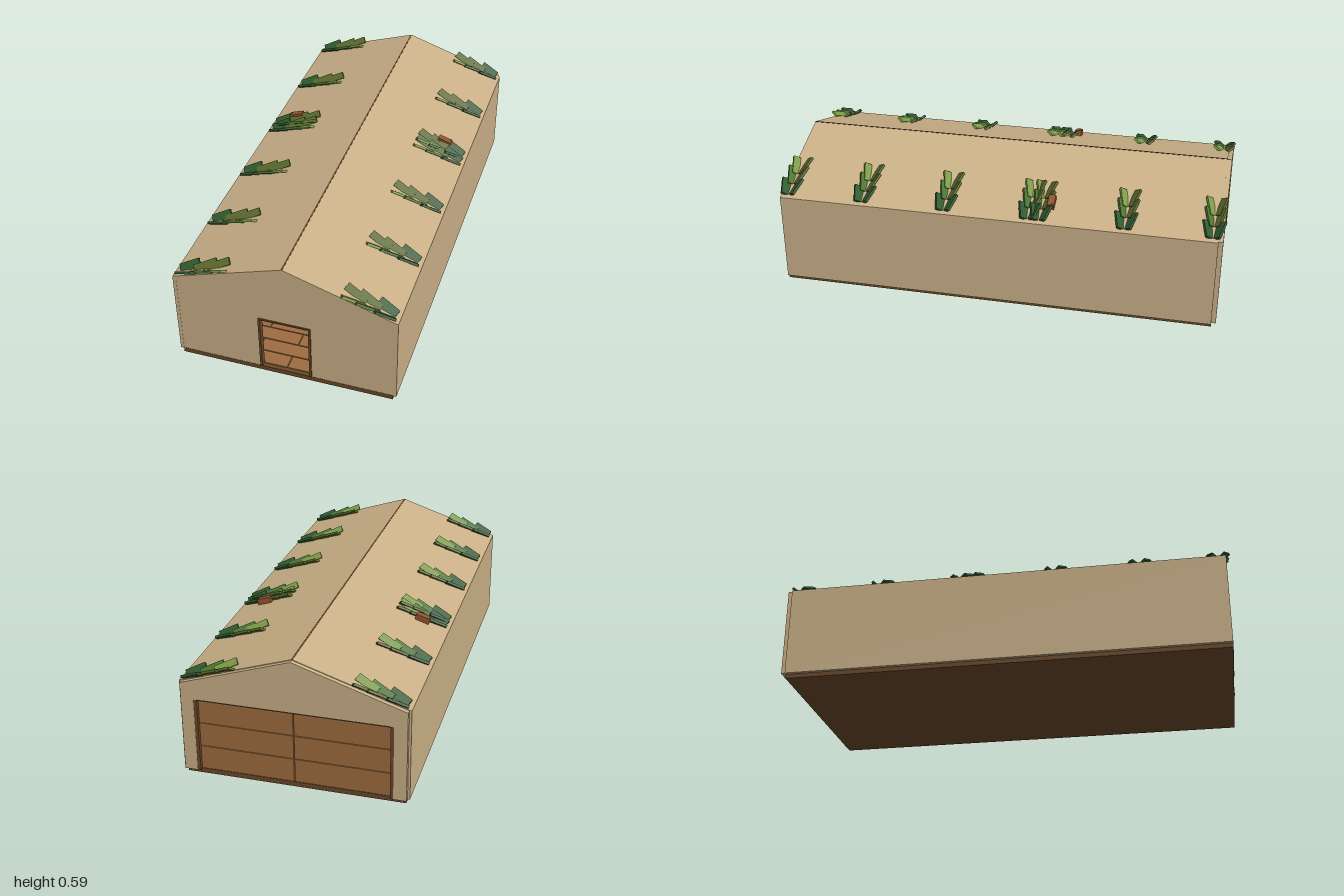
import * as THREE from 'three';

const mat = (name, color) => {
  const m = new THREE.MeshStandardMaterial({ color });
  m.name = name;
  return m;
};

export function createModel() {
  const root = new THREE.Group();
  root.name = 'storageHall';
  const tan = mat('sandWall', 0xcbb188);
  const dark = mat('darkTimber', 0x684829);
  const wood = mat('plankWood', 0x9f6d40);
  const rust = mat('rustBark', 0x94552e);
  const deepGreen = mat('deepGreen', 0x2f5a2e);
  const midGreen = mat('leafGreen', 0x4a7533);
  const limeGreen = mat('limeGreen', 0x7c9c48);
  const olive = mat('oliveGreen', 0x5a6a2c);

  const add = (name, geo, m, x = 0, y = 0, z = 0, parent = root) => {
    const mesh = new THREE.Mesh(geo, m);
    mesh.name = name;
    mesh.position.set(x, y, z);
    parent.add(mesh);
    return mesh;
  };
  const box = (name, m, w, h, d, x, y, z, parent) =>
    add(name, new THREE.BoxGeometry(w, h, d), m, x, y, z, parent);
  const extrude = (name, pts, depth, m, z) =>
    add(name, new THREE.ExtrudeGeometry(new THREE.Shape(pts.map(p => new THREE.Vector2(...p))),
      { depth, bevelEnabled: false }), m, 0, 0, z);

  // Foundation
  box('foundation', dark, 0.94, 0.022, 1.945, 0, 0.011, 0.0025);

  // Plank floor, staggered boards with dark gaps between them
  const floor = new THREE.Group();
  floor.name = 'plankFloor';
  root.add(floor);
  for (let r = 0; r < 27; r++) {
    const cuts = r % 2 ? [-0.465, -0.155, 0.155, 0.465] : [-0.465, -0.31, 0, 0.31, 0.465];
    for (let i = 0; i < cuts.length - 1; i++) {
      box('floorBoard', wood, cuts[i + 1] - cuts[i] - 0.006, 0.004, 0.063,
        (cuts[i] + cuts[i + 1]) / 2, 0.024, 0.925 - r * 0.07, floor);
    }
  }

  // Side walls
  for (const s of [-1, 1]) box('sideWall', tan, 0.015, 0.405, 1.945, s * 0.4775, 0.2225, 0.0025);

  // Roof shell and ridge seam
  extrude('roof', [[-0.485, 0.41], [0, 0.567], [0.485, 0.41], [0.485, 0.428], [0, 0.587], [-0.485, 0.428]],
    1.945, tan, -0.97);
  box('ridgeSeam', dark, 0.006, 0.003, 1.945, 0, 0.5858, 0.0025);

  // Gable walls, each with a doorway cut up from the floor
  const gable = (name, w, apex, eave, doorW, doorH, depth, z) =>
    extrude(name, [[-w, 0.022], [-doorW, 0.022], [-doorW, doorH], [doorW, doorH], [doorW, 0.022],
      [w, 0.022], [w, eave], [0, apex], [-w, eave]], depth, tan, z);
  gable('frontGable', 0.47, 0.58, 0.424, 0.105, 0.29, 0.015, 0.959);
  gable('backGable', 0.475, 0.584, 0.428, 0.42, 0.357, 0.02, -0.99);

  // Front door frame
  for (const s of [-1, 1]) box('frontJamb', dark, 0.01, 0.275, 0.026, s * 0.11, 0.1595, 0.966);
  box('frontLintel', dark, 0.23, 0.007, 0.026, 0, 0.2935, 0.966);

  // Back double door: two leaves of three boards, with open seams
  for (const s of [-1, 1]) {
    for (let i = 0; i < 3; i++) {
      box('backDoorBoard', wood, 0.404, 0.106, 0.012, s * 0.204, 0.078 + i * 0.109, -0.966);
    }
    box('backJamb', dark, 0.014, 0.335, 0.03, s * 0.413, 0.1895, -0.974);
    box('doorBatten', dark, 0.008, 0.25, 0.008, s * 0.018, 0.15, -0.956);
  }
  box('backLintel', dark, 0.84, 0.008, 0.02, 0, 0.353, -0.972);
  box('doorBar', tan, 0.8, 0.015, 0.012, 0, 0.2825, -0.954);

  // Padlock on a plate, on the inside of the back door
  box('lockPlate', dark, 0.09, 0.115, 0.008, 0, 0.1925, -0.948);
  box('lockBody', wood, 0.036, 0.04, 0.012, 0, 0.18, -0.94);
  box('lockKeyhole', dark, 0.006, 0.018, 0.004, 0, 0.18, -0.933);
  box('shackleTop', tan, 0.036, 0.006, 0.008, 0, 0.219, -0.941);
  for (const s of [-1, 1]) box('shackleSide', tan, 0.006, 0.018, 0.008, s * 0.015, 0.208, -0.941);

  // Round mats on the floor
  for (const s of [-1, 1]) {
    add('floorMat', new THREE.CylinderGeometry(0.1, 0.1, 0.008, 20), dark, s * 0.33, 0.03, 0.46);
  }

  // Leaf clumps: three pairs of slabs spread in a V, stepping down the slope
  const roofY = x => 0.587 - 0.328 * x;
  const leaves = [
    { x: 0.295, len: 0.1, w: 0.034, up: olive, down: limeGreen },
    { x: 0.355, len: 0.105, w: 0.034, up: olive, down: midGreen },
    { x: 0.425, len: 0.09, w: 0.046, up: deepGreen, down: deepGreen },
  ];
  const clump = (side, z) => {
    const g = new THREE.Group();
    g.name = 'leafClump';
    root.add(g);
    for (const l of leaves) {
      for (const s of [-1, 1]) {
        const leaf = box('leaf', s > 0 ? l.down : l.up, l.len, 0.011, l.w,
          side * l.x, roofY(l.x) + 0.006, z + s * 0.022, g);
        leaf.rotation.set(-s * 0.6, s * side * 0.45, -side * 0.2);
      }
    }
  };
  for (const side of [-1, 1]) {
    for (const z of [0.943, 0.6, 0.225, -0.15, -0.2, -0.57, -0.945]) clump(side, z);
    // Bark pieces under the double clump
    box('barkPiece', rust, 0.065, 0.03, 0.03, side * 0.368, roofY(0.368) + 0.012, -0.24)
      .rotation.z = -side * 0.31;
  }
  return root;
}
